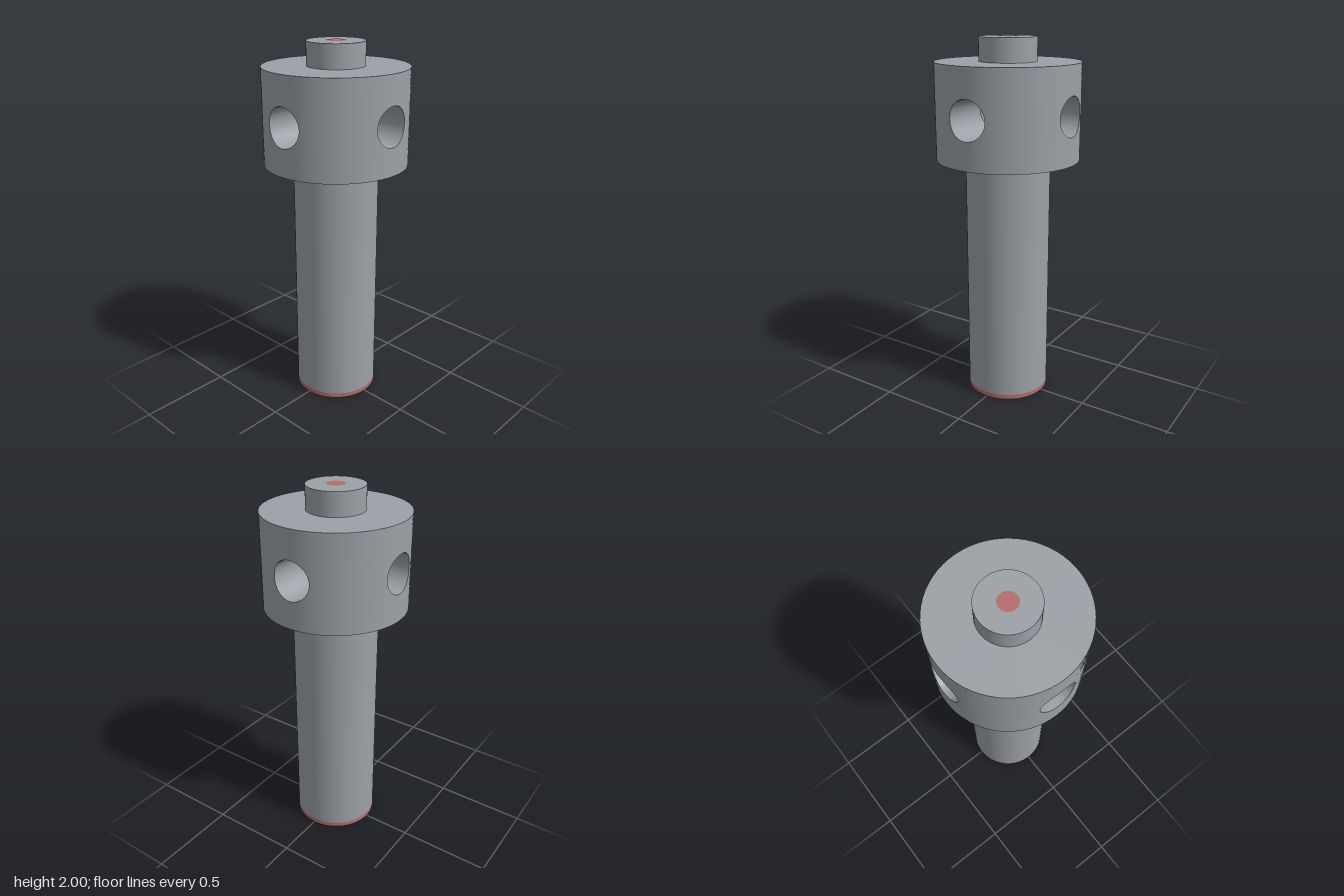
import * as THREE from 'three';

const R = 0.387, HEAD_BOTTOM = 1.36, HEAD_TOP = 1.875;   // head
const SHAFT_R = 0.23, BAND = 0.027;                      // shaft and painted band
const BORE_R = 0.105, BORE_Y = 1.615;                    // cross bores
const SIDE = 16, LOOP = SIDE * 4;

// Smooth grid surface; fn(i, v) returns { p, n }
function surface(nu, nv, fn) {
  const pos = [], nor = [], idx = [];
  for (let i = 0; i <= nu; i++) {
    for (let j = 0; j <= nv; j++) {
      const { p, n } = fn(i, j / nv);
      pos.push(...p);
      nor.push(...n);
      if (i < nu && j < nv) {
        const a = i * (nv + 1) + j, b = a + nv + 1;
        idx.push(a, a + 1, b, b, a + 1, b + 1);
      }
    }
  }
  const g = new THREE.BufferGeometry();
  g.setAttribute('position', new THREE.Float32BufferAttribute(pos, 3));
  g.setAttribute('normal', new THREE.Float32BufferAttribute(nor, 3));
  g.setIndex(idx);
  return g;
}

// Point i on the outline of one unrolled quarter of the head wall: [angle, y]
function outline(i) {
  const k = Math.floor(i / SIDE) % 4, s = (i % SIDE) / SIDE * 2 - 1;
  const [x, y] = [[s, -1], [1, s], [-s, 1], [-1, -s]][k];
  return [x * Math.PI / 4, y > 0 ? y * (HEAD_TOP - BORE_Y) : y * (BORE_Y - HEAD_BOTTOM)];
}

// Matching point on the bore circle
function borePoint(i) {
  const [a, y] = outline(i), t = Math.atan2(y, a * R);
  return [Math.cos(t), Math.sin(t)];
}

export function createModel() {
  const steel = new THREE.MeshStandardMaterial({ color: 0x9ba1a6 });
  steel.name = 'steel grey';
  const red = new THREE.MeshStandardMaterial({ color: 0xb46c6c });
  red.name = 'muted red';

  const model = new THREE.Group();
  model.name = 'capstanBolt';
  const add = (parent, name, geometry, material, y = 0) => {
    const mesh = new THREE.Mesh(geometry, material);
    mesh.name = name;
    mesh.position.y = y;
    parent.add(mesh);
    return mesh;
  };
  const tube = (r, h, open = true) => new THREE.CylinderGeometry(r, r, h, LOOP, 1, open);

  // Shaft with a painted band round its lower edge
  add(model, 'shaft', tube(SHAFT_R, HEAD_BOTTOM - BAND), steel, (HEAD_BOTTOM + BAND) / 2);
  add(model, 'bandWall', tube(SHAFT_R, BAND), red, BAND / 2);
  add(model, 'bandUnderside', new THREE.RingGeometry(0.211, SHAFT_R, LOOP).rotateX(Math.PI / 2), red);
  add(model, 'shaftEnd', new THREE.CircleGeometry(0.211, LOOP).rotateX(Math.PI / 2), steel);

  // Head: four wall quarters, each with a bore running in to the crossing
  const head = new THREE.Group();
  head.name = 'head';
  model.add(head);
  const wall = surface(LOOP, 8, (i, v) => {
    const [oa, oy] = outline(i), [c, s] = borePoint(i);
    const a = THREE.MathUtils.lerp(Math.asin(BORE_R * c / R), oa, v);
    const y = THREE.MathUtils.lerp(BORE_R * s, oy, v);
    return { p: [R * Math.sin(a), y, R * Math.cos(a)], n: [Math.sin(a), 0, Math.cos(a)] };
  });
  const bore = surface(LOOP, 1, (i, v) => {
    const [c, s] = borePoint(i), x = BORE_R * c;
    const z = v ? Math.sqrt(R * R - x * x) : Math.abs(x);
    return { p: [x, BORE_R * s, z], n: [-c, -s, 0] };
  });
  for (let q = 0; q < 4; q++) {
    add(head, 'headWall', wall, steel, BORE_Y).rotation.y = q * Math.PI / 2;
    add(head, 'headBore', bore, steel, BORE_Y).rotation.y = q * Math.PI / 2;
  }
  add(head, 'headTop', new THREE.RingGeometry(0.15, R, LOOP).rotateX(-Math.PI / 2), steel, HEAD_TOP);
  add(head, 'headUnderside', new THREE.RingGeometry(SHAFT_R, R, LOOP).rotateX(Math.PI / 2), steel, HEAD_BOTTOM);

  // Pilot stub on top with its painted centre mark
  add(model, 'stub', tube(0.154, 2 - HEAD_TOP, false), steel, (2 + HEAD_TOP) / 2);
  const mark = new THREE.CircleGeometry(0.051, 12, Math.PI / 12).rotateX(-Math.PI / 2);
  add(model, 'centreMark', mark, red, 2.001);
  return model;
}
